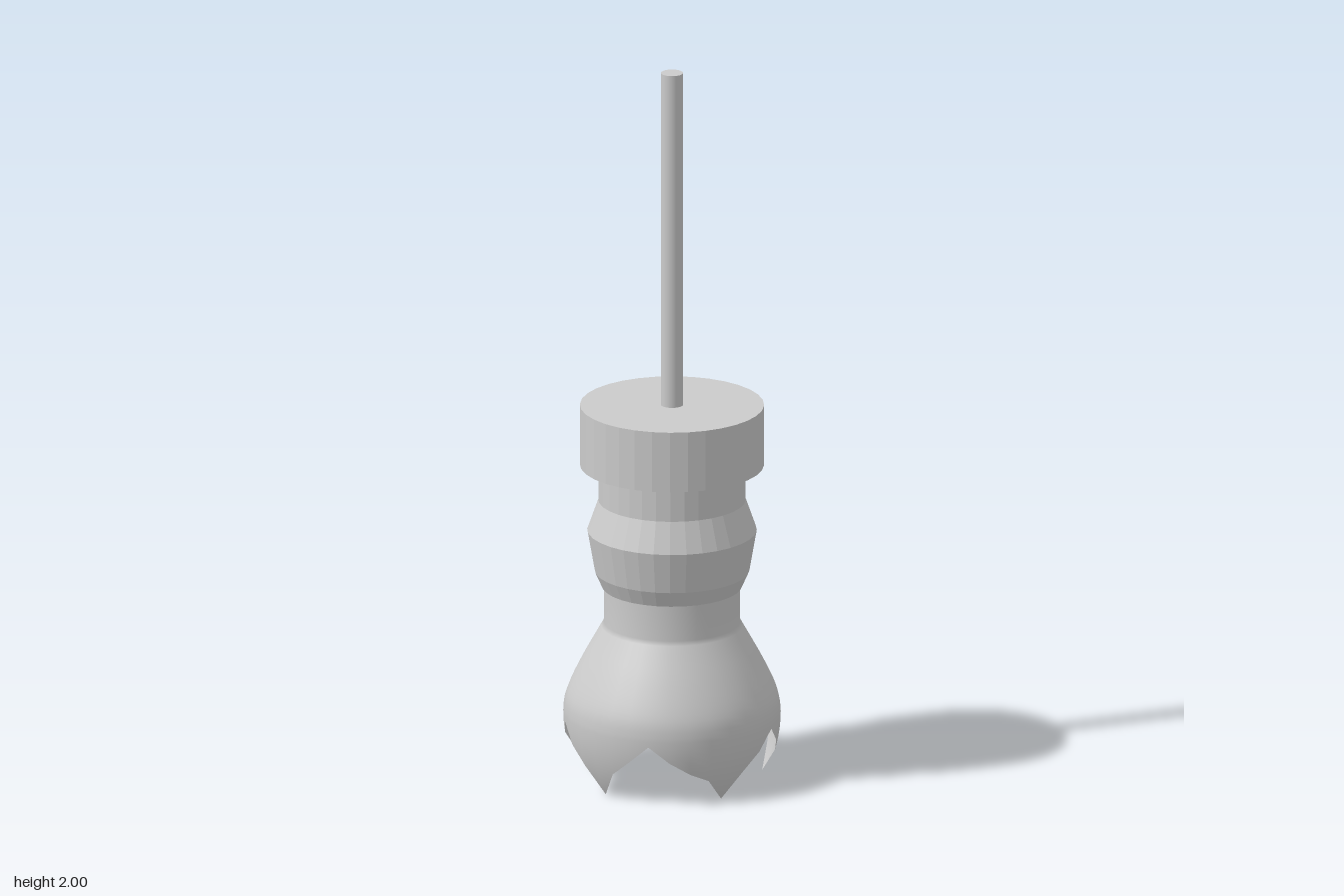
import * as THREE from 'three';

const SIDES = 32;
const flat = new THREE.MeshStandardMaterial({ color: 0xcccccc, flatShading: true });
const smooth = new THREE.MeshStandardMaterial({ color: 0xcccccc });
const glass = new THREE.MeshStandardMaterial({ color: 0xcccccc, side: THREE.DoubleSide });

const profile = (pts) => pts.map(([r, y]) => new THREE.Vector2(r, y));

function part(name, geometry, material) {
  const mesh = new THREE.Mesh(geometry, material);
  mesh.name = name;
  return mesh;
}

// Height of the broken rim for half the circle, starting at +x (mirrored in z)
const RIM = [0, 0.075, 0.12, 0.17, 0.12, 0.075, 0, 0.065, 0.09, 0.125, 0.17,
  0.12, 0.075, 0, 0.075, 0.12, 0.17];

function brokenBulb() {
  const belly = 0.185, maxR = 0.295, depth = 0.342, rows = 6;
  // Upper glass: straight neck, then a smooth swell down to the belly
  const swell = new THREE.SplineCurve(profile([[0.295, belly], [0.291, 0.225], [0.275, 0.27],
    [0.243, 0.335], [0.21, 0.395], [0.185, 0.44]])).getPoints(14);
  const lower = Array.from({ length: rows }, (_, j) => new THREE.Vector2(maxR, belly * j / rows));
  const geo = new THREE.LatheGeometry([...lower, ...swell, ...profile([[0.185, 0.55]])], SIDES);
  const pos = geo.attributes.position, nor = geo.attributes.normal;
  const perColumn = pos.count / (SIDES + 1);

  // Lower glass: squeeze each column's rows between the belly and the jagged rim
  for (let i = 0; i <= SIDES; i++) {
    const phi = i / SIDES * Math.PI * 2;
    const step = (8 - i + 2 * SIDES) % SIDES;
    const rim = RIM[Math.min(step, SIDES - step)];
    for (let j = 0; j <= rows; j++) {
      const y = THREE.MathUtils.lerp(rim, belly, j / rows);
      const d = (y - belly) / depth;
      const r = maxR * Math.sqrt(1 - d * d);
      const n = new THREE.Vector3(Math.sin(phi) * r / maxR ** 2, d / depth,
        Math.cos(phi) * r / maxR ** 2).normalize();
      const v = i * perColumn + j;
      pos.setXYZ(v, Math.sin(phi) * r, y, Math.cos(phi) * r);
      nor.setXYZ(v, n.x, n.y, n.z);
    }
  }
  return part('brokenBulb', geo, glass);
}

export function createModel() {
  const group = new THREE.Group();
  group.name = 'hangingLamp';

  // Hanging cord
  const cord = part('cord', new THREE.CylinderGeometry(0.03, 0.03, 0.95, SIDES), smooth);
  cord.position.y = 1.525;

  // Wide collar on top of the socket
  const collar = part('collar', new THREE.CylinderGeometry(0.25, 0.25, 0.17, SIDES), flat);
  collar.position.y = 0.97;

  // Bulging socket, closed underneath
  const socket = part('socket', new THREE.LatheGeometry(profile([[0, 0.54], [0.19, 0.54],
    [0.21, 0.585], [0.23, 0.7], [0.2, 0.785], [0.2, 0.89]]), SIDES), flat);

  group.add(cord, collar, socket, brokenBulb());
  return group;
}
